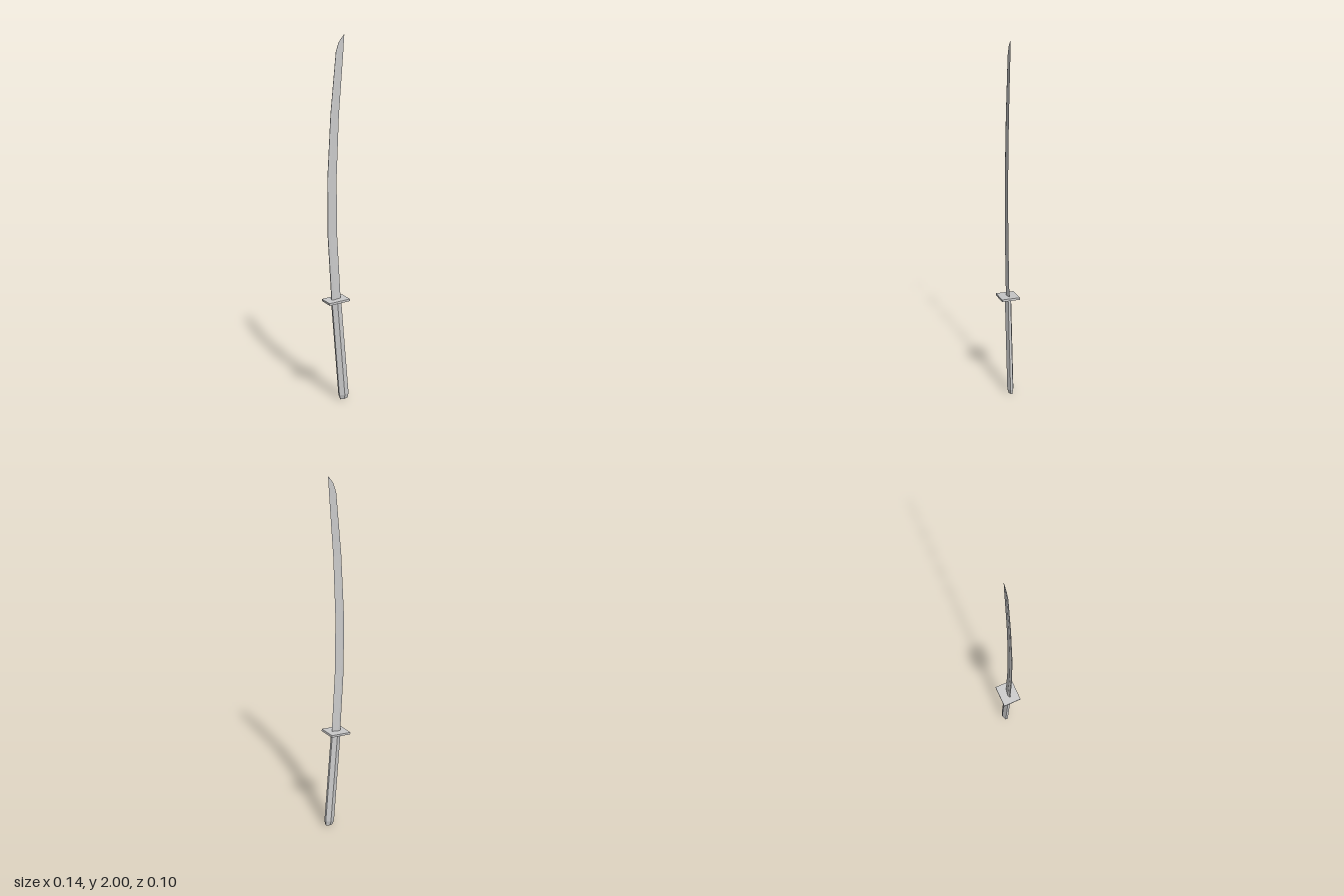
import * as THREE from 'three';

const material = new THREE.MeshStandardMaterial({ color: 0xcccccc, flatShading: true, side: THREE.DoubleSide });

// Skin equal-sized rings of points (ordered bottom to top) and close both ends.
function loft(name, rings) {
  const n = rings[0].length, index = [];
  for (let r = 0; r < rings.length - 1; r++) {
    for (let i = 0; i < n; i++) {
      const a = r * n + i, b = r * n + (i + 1) % n;
      index.push(a, a + n, b, b, a + n, b + n);
    }
  }
  const top = (rings.length - 1) * n;
  for (let i = 1; i < n - 1; i++) {
    index.push(0, i, i + 1, top, top + i + 1, top + i);
  }
  const geometry = new THREE.BufferGeometry();
  geometry.setAttribute('position', new THREE.Float32BufferAttribute(rings.flat(2), 3));
  geometry.setIndex(index);
  const flat = geometry.toNonIndexed();
  flat.computeVertexNormals();
  const mesh = new THREE.Mesh(flat, material);
  mesh.name = name;
  return mesh;
}

// Blade section: narrow flat spine at -x, ridge a quarter across, sharp edge at +x.
function bladeRing([xSpine, ySpine, xEdge, yEdge, t]) {
  const at = (f, z) => [
    THREE.MathUtils.lerp(xSpine, xEdge, f),
    THREE.MathUtils.lerp(ySpine, yEdge, f), z];
  return [at(0, -t * 0.4), at(0, t * 0.4), at(0.27, t), at(1, 0), at(0.27, -t)];
}

// Six-sided grip section with narrow flat ends and a ridge on each face.
function gripRing([x, y, half, depth, tilt]) {
  const corners = [[-1, -0.4], [-1, 0.4], [0, 1], [1, 0.4], [1, -0.4], [0, -1]];
  return corners.map(([u, w]) => [x + u * half, y + u * half * tilt, w * depth]);
}

export function createModel() {
  const group = new THREE.Group();
  group.name = 'sword';

  // Spine x, y; edge x, y; half thickness.
  const bladeSections = [
    [-0.035, 0.575, 0.019, 0.58, 0.008],
    [-0.057, 0.94, -0.002, 0.94, 0.006],
    [-0.058, 1.25, -0.005, 1.25, 0.005],
    [-0.04, 1.59, 0.008, 1.58, 0.004],
    [-0.009, 1.915, 0.033, 1.91, 0.003],
    [0.008, 1.965, 0.036, 1.96, 0.002],
    [0.036, 2.0, 0.039, 2.0, 0.0005],
  ];
  group.add(loft('blade', bladeSections.map(bladeRing)));

  // Centre x, y; half width; half depth; tilt. The pommel end is chamfered.
  const gripSections = [
    [0.039, 0.003, 0.021, 0.011, 0.1],
    [0.037, 0.03, 0.028, 0.018, 0.1],
    [-0.008, 0.575, 0.027, 0.018, 0.1],
  ];
  group.add(loft('grip', gripSections.map(gripRing)));

  // Rectangular guard, square to the leaning grip
  const guard = new THREE.Mesh(new THREE.BoxGeometry(0.122, 0.012, 0.102), material);
  guard.name = 'guard';
  guard.position.set(-0.009, 0.578, 0);
  guard.rotation.z = 0.1;
  group.add(guard);

  return group;
}
